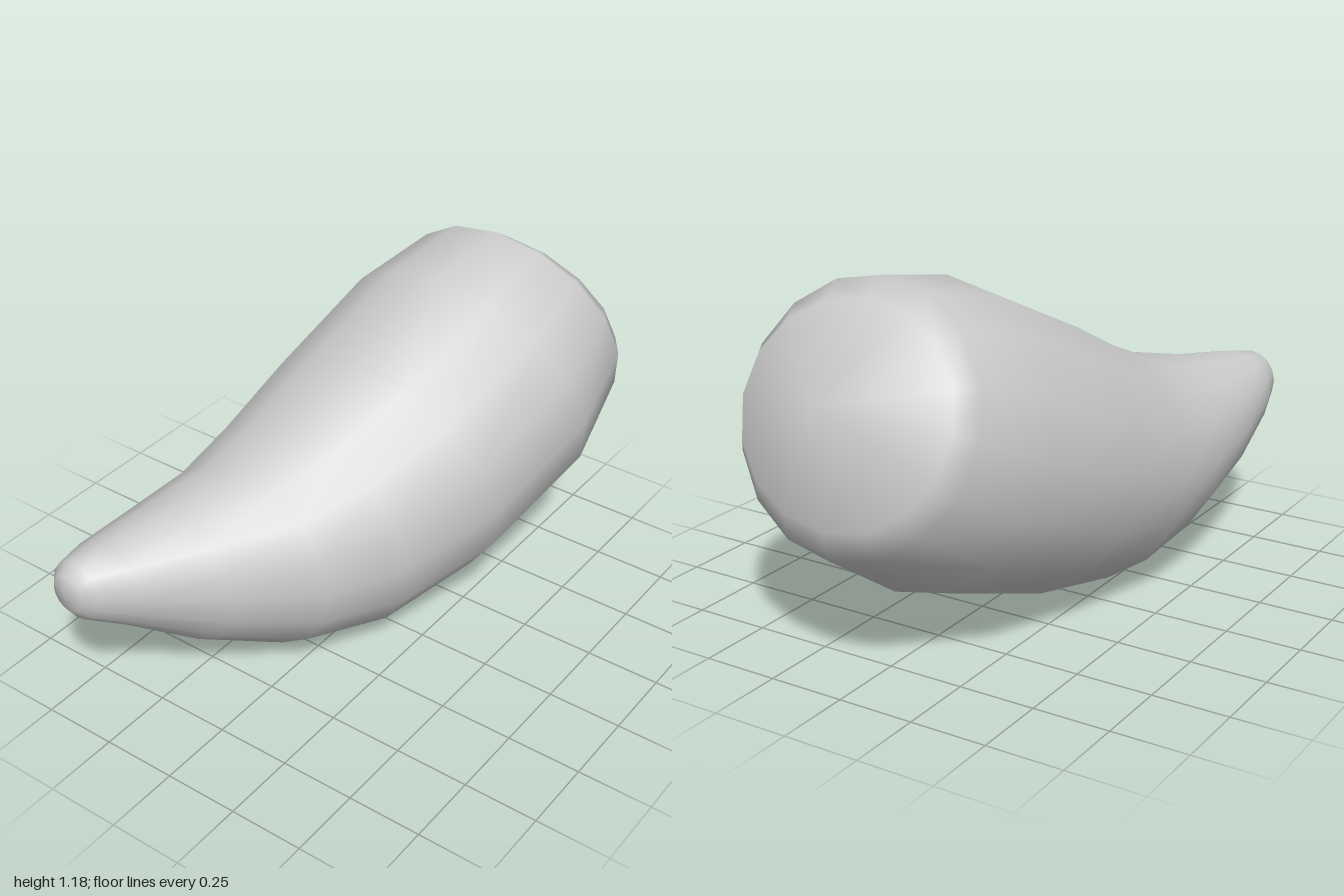
import * as THREE from 'three';

const SIDES = 16;

// Elliptical ribs from tip to blunt end:
// [bottom x, bottom y, top x, top y, back z, front z]
const RIBS = [
  [-0.985, 0.46, -0.985, 0.59, -0.43, -0.32],
  [-0.96, 0.42, -0.95, 0.62, -0.46, -0.28],
  [-0.84, 0.34, -0.85, 0.64, -0.49, -0.19],
  [-0.64, 0.19, -0.63, 0.67, -0.51, -0.03],
  [-0.38, 0.055, -0.41, 0.72, -0.515, 0.16],
  [-0.1, 0, -0.22, 0.81, -0.52, 0.3],
  [0.25, 0.06, 0.02, 0.95, -0.505, 0.43],
  [0.68, 0.21, 0.38, 1.125, -0.455, 0.515],
  [0.95, 0.4, 0.66, 1.18, -0.36, 0.475],
  [0.98, 0.5, 0.74, 1.13, -0.31, 0.43],
];
const TIP = [-1, 0.54, -0.375];
const END = [1, 0.88, 0.065];

function clawGeometry() {
  const positions = [];
  const index = [];

  // Each rib is an ellipse leaning in the xy plane
  for (const [bx, by, tx, ty, back, front] of RIBS) {
    for (let j = 0; j < SIDES; j++) {
      const a = (j / SIDES) * Math.PI * 2;
      const c = Math.cos(a) / 2;
      const s = Math.sin(a) / 2;
      positions.push(
        (bx + tx) / 2 + (tx - bx) * c,
        (by + ty) / 2 + (ty - by) * c,
        (back + front) / 2 + (front - back) * s,
      );
    }
  }
  positions.push(...TIP, ...END);

  // Skin between ribs, plus a fan at each end
  const last = RIBS.length - 1;
  const tip = RIBS.length * SIDES;
  const end = tip + 1;
  for (let j = 0; j < SIDES; j++) {
    const n = (j + 1) % SIDES;
    for (let k = 0; k < last; k++) {
      const a = k * SIDES + j;
      const b = k * SIDES + n;
      index.push(a, b, a + SIDES, b, b + SIDES, a + SIDES);
    }
    index.push(tip, n, j);
    index.push(end, last * SIDES + j, last * SIDES + n);
  }

  const geometry = new THREE.BufferGeometry();
  geometry.setAttribute('position', new THREE.Float32BufferAttribute(positions, 3));
  geometry.setIndex(index);
  geometry.computeVertexNormals();
  return geometry;
}

export function createModel() {
  const group = new THREE.Group();
  group.name = 'curvedClaw';
  const claw = new THREE.Mesh(
    clawGeometry(),
    new THREE.MeshStandardMaterial({ color: 0xcccccc }),
  );
  claw.name = 'clawBody';
  group.add(claw);
  return group;
}
